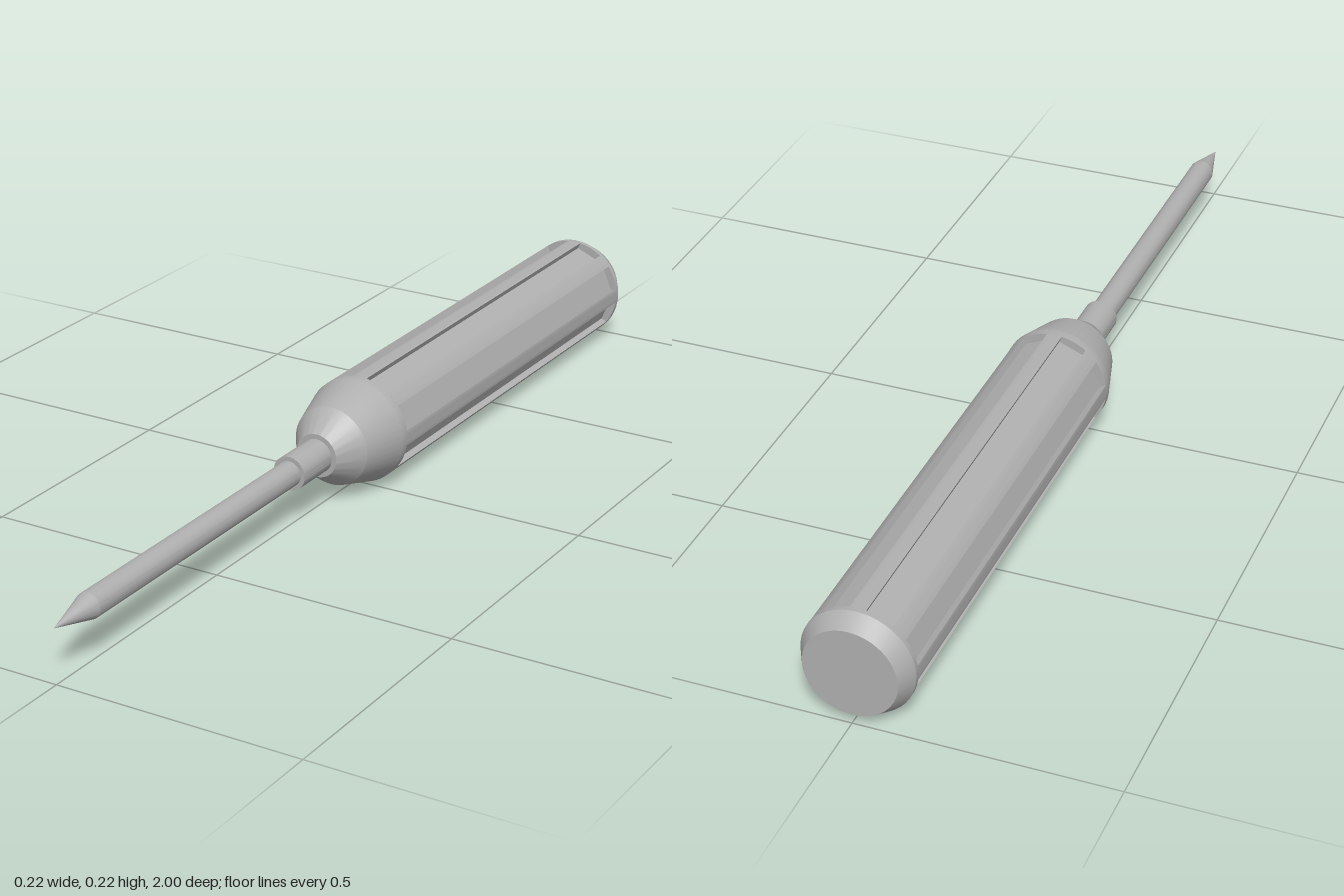
import * as THREE from 'three';
import { toCreasedNormals } from 'three/addons/utils/BufferGeometryUtils.js';

const RADIUS = 0.109;       // handle radius
const SLOTS = 8;            // grip slots around the handle
const SLOT_HALF = 0.027;    // half width of a slot
const FLOOR = 0.092;        // distance of the flat slot floor from the axis

export function createModel() {
  const group = new THREE.Group();
  const grey = new THREE.MeshStandardMaterial({ color: 0xb0b0b0 });
  grey.name = 'grey';

  function add(name, geometry) {
    const mesh = new THREE.Mesh(toCreasedNormals(geometry, 0.29), grey);
    mesh.name = name;
    group.add(mesh);
  }

  // Turned part along z; profile is [radius, z] from back to front
  function turned(name, profile, segments = 48) {
    const points = profile.map(([r, z]) => new THREE.Vector2(r, z));
    add(name, new THREE.LatheGeometry(points, segments).rotateX(Math.PI / 2));
  }

  // Grip: round section with flat-bottomed slots between the ribs
  const section = new THREE.Shape();
  const step = (Math.PI * 2) / SLOTS;
  const half = Math.asin(SLOT_HALF / RADIUS);
  const rim = RADIUS * Math.cos(half);
  for (let i = 0; i < SLOTS; i++) {
    const a = (i + 0.5) * step;
    const c = Math.cos(a), s = Math.sin(a);
    const put = (r, t, first) => {
      const x = r * c - t * s, y = r * s + t * c;
      if (first) section.moveTo(x, y);
      else section.lineTo(x, y);
    };
    put(rim, -SLOT_HALF, i === 0);
    put(FLOOR, -SLOT_HALF);
    put(FLOOR, SLOT_HALF);
    put(rim, SLOT_HALF);
    section.absarc(0, 0, RADIUS, a + half, a + step - half, false);
  }
  const grip = new THREE.ExtrudeGeometry(section, {
    depth: 0.935, bevelEnabled: false, curveSegments: 4,
  });
  add('grip', grip.translate(0, 0, -0.955));

  // Chamfered end cap of the handle
  turned('endCap', [[0, -1], [0.09, -1], [RADIUS, -0.965], [RADIUS, -0.955], [0, -0.955]]);

  // Two-step tapered nose
  turned('nose', [[0, -0.02], [RADIUS, -0.02], [RADIUS, -0.003], [0.082, 0.09], [0.045, 0.145], [0, 0.145]]);

  // Collar that holds the shaft
  turned('collar', [[0, 0.14], [0.035, 0.14], [0.035, 0.245], [0, 0.245]], 32);

  // Shaft and its pointed tip
  turned('shaft', [[0, 0.24], [0.026, 0.24], [0.026, 0.9], [0, 0.9]], 32);
  turned('tip', [[0.026, 0.9], [0, 1]], 32);

  group.children.forEach((mesh) => { mesh.position.y = RADIUS; });
  return group;
}
